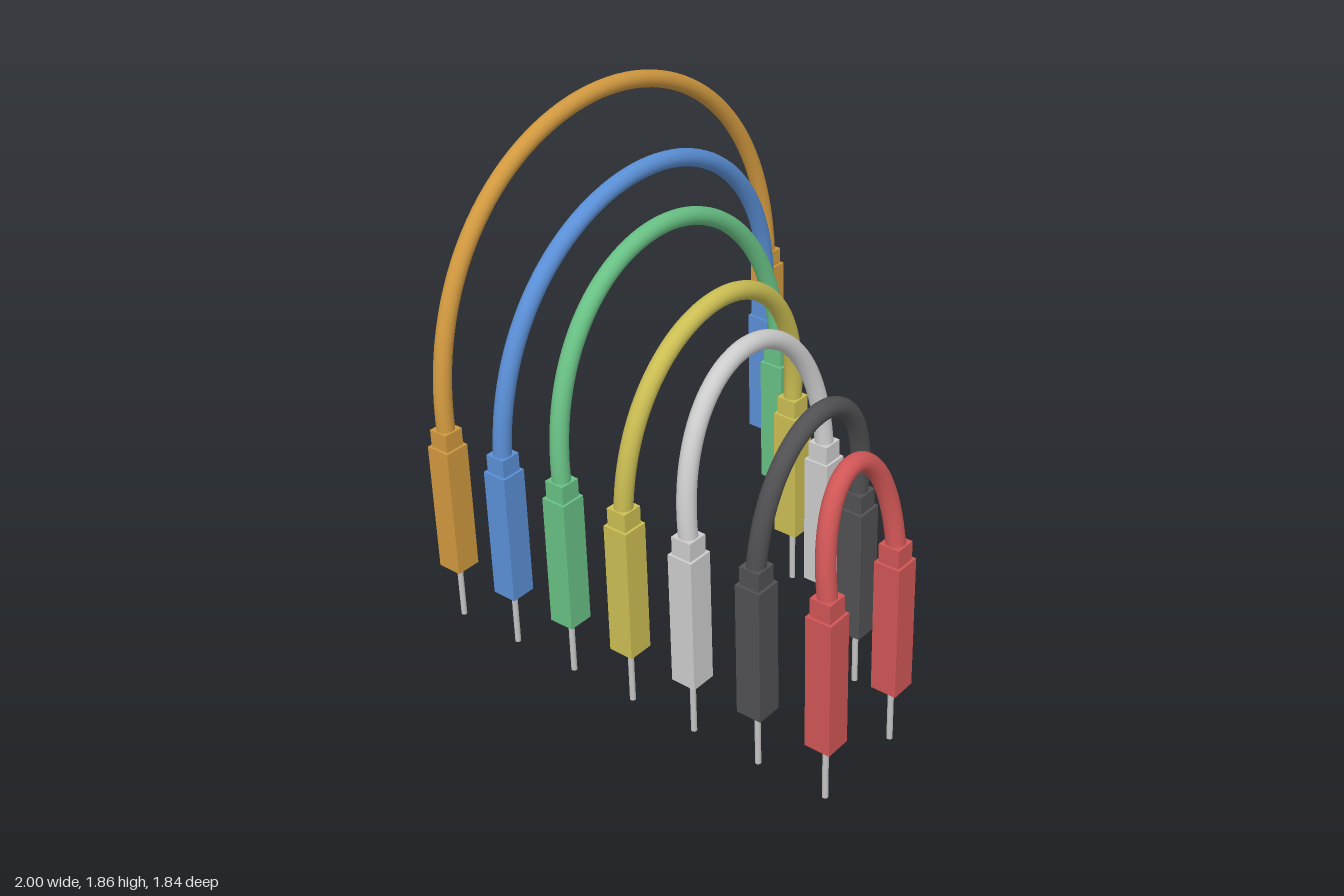
import * as THREE from 'three';

const mat = (name, color) => {
  const m = new THREE.MeshStandardMaterial({ color });
  m.name = name;
  return m;
};

// Jumper wires, front to back: colour and x of the right-hand plug
const WIRES = [
  ['red', 0xd05656, -0.57],
  ['black', 0x515153, -0.38],
  ['white', 0xcccccc, -0.19],
  ['yellow', 0xcbbe53, 0],
  ['green', 0x68c084, 0.285],
  ['blue', 0x5a8fd6, 0.57],
  ['orange', 0xd0983f, 0.95],
];
const X0 = -0.95;        // shared x of the first plugs
const COLLAR_TOP = 0.82;

const pinGeo = new THREE.CylinderGeometry(0.011, 0.011, 0.24, 16).translate(0, 0.12, 0);
const housingGeo = new THREE.BoxGeometry(0.1, 0.52, 0.1).translate(0, 0.49, 0);
const collarGeo = new THREE.BoxGeometry(0.08, 0.07, 0.08).translate(0, 0.785, 0);

function createPlug(x, material, metal) {
  const plug = new THREE.Group();
  plug.name = 'plug';
  const parts = [['pin', pinGeo, metal], ['housing', housingGeo, material], ['collar', collarGeo, material]];
  for (const [name, geo, m] of parts) {
    const mesh = new THREE.Mesh(geo, m);
    mesh.name = name;
    plug.add(mesh);
  }
  plug.position.x = x;
  return plug;
}

// Arched cable, leaning slightly forward or back
function createCable(x1, lean, material) {
  const y0 = COLLAR_TOP - 0.005;
  const rise = 0.3 + 0.55 * (x1 - X0);
  const path = new THREE.CubicBezierCurve3(
    new THREE.Vector3(X0, y0, 0),
    new THREE.Vector3(X0, y0 + rise, lean),
    new THREE.Vector3(x1, y0 + rise, lean),
    new THREE.Vector3(x1, y0, 0),
  );
  const cable = new THREE.Mesh(new THREE.TubeGeometry(path, 64, 0.034, 20), material);
  cable.name = 'cable';
  return cable;
}

export function createModel() {
  const model = new THREE.Group();
  model.name = 'jumperWires';
  const metal = mat('pin metal', 0xc2c2c2);

  WIRES.forEach(([name, color, x1], i) => {
    const material = mat(name, color);
    const wire = new THREE.Group();
    wire.name = name + 'Wire';
    const lean = i % 2 ? 0.059 : -0.059;
    wire.add(createPlug(X0, material, metal), createPlug(x1, material, metal), createCable(x1, lean, material));
    wire.position.z = 0.87 - i * 0.285;
    model.add(wire);
  });
  return model;
}
